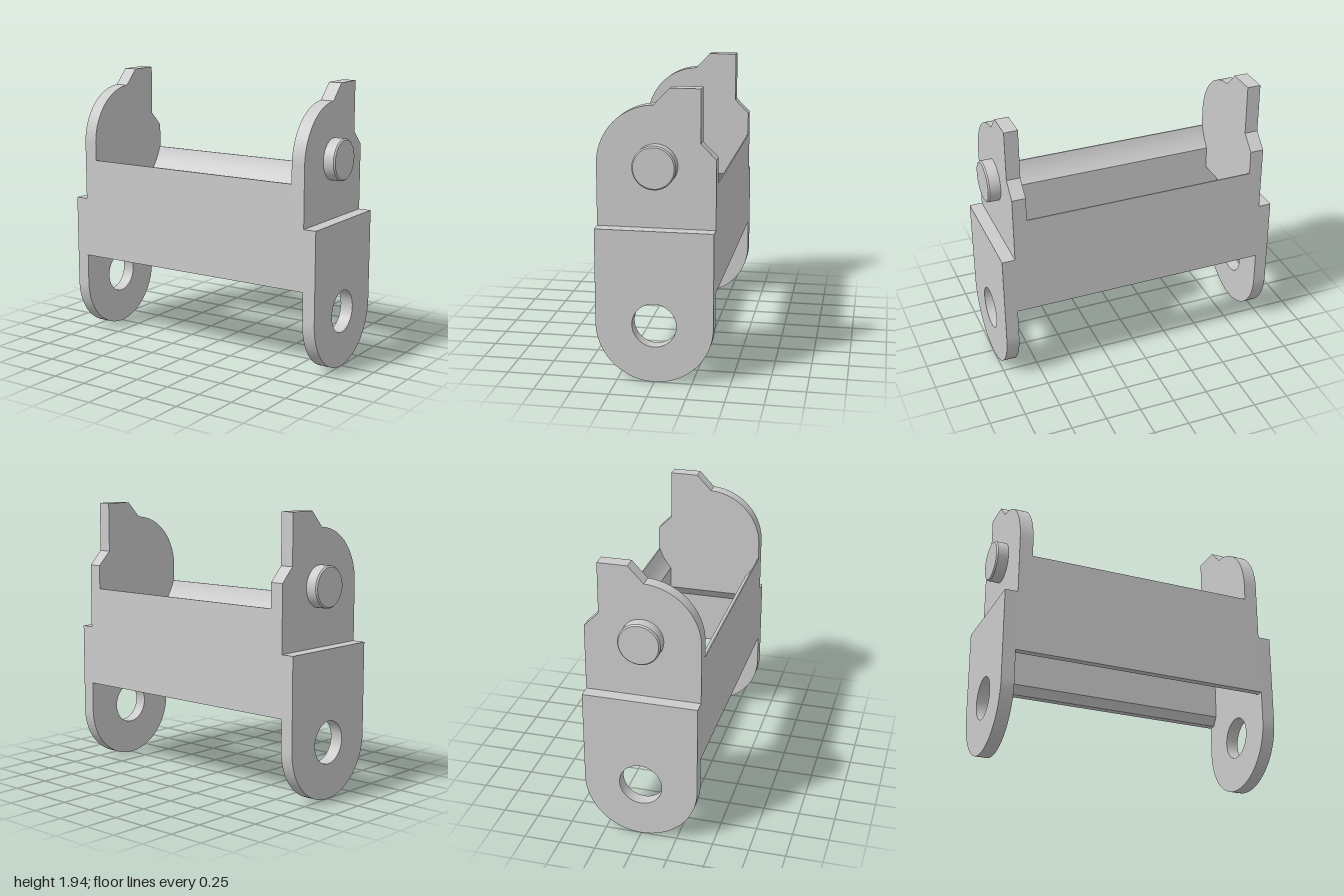
import * as THREE from 'three';
import { toCreasedNormals } from 'three/addons/utils/BufferGeometryUtils.js';

const D = 0.39;          // half depth of the link
const PIN_Y = 1.44;      // upper pivot height
const HOLE_Y = 0.395;    // lower pivot height
const CLEAR = 0.4;       // clearance radius around both pivots

export function createModel() {
  const group = new THREE.Group();
  const material = new THREE.MeshStandardMaterial({ color: 0xcccccc });

  const add = (name, geometry) => {
    const mesh = new THREE.Mesh(toCreasedNormals(geometry, 0.5), material);
    mesh.name = name;
    group.add(mesh);
  };
  // Extrudes a (z, y) profile along x, from xMin to xMax
  const extrudeX = (shape, xMin, xMax) =>
    new THREE.ExtrudeGeometry(shape, { depth: xMax - xMin, bevelEnabled: false, curveSegments: 32 })
      .rotateY(-Math.PI / 2)
      .translate(xMax, 0, 0);

  // Lower side plate: rounded bottom with a pivot hole
  const lower = new THREE.Shape();
  lower.moveTo(D, 1.03);
  lower.lineTo(-D, 1.03);
  lower.lineTo(-D, HOLE_Y);
  lower.absarc(0, HOLE_Y, D, Math.PI, Math.PI * 2, false);
  lower.closePath();
  const hole = new THREE.Path();
  hole.absarc(0, HOLE_Y, 0.147, 0, Math.PI * 2, true);
  lower.holes.push(hole);

  // Upper side plate: rounded front shoulder and a stop tab at the back
  const upper = new THREE.Shape();
  upper.moveTo(-D, 1.01);
  upper.lineTo(D, 1.01);
  upper.lineTo(D, PIN_Y);
  upper.absarc(0, PIN_Y, D, 0, Math.PI / 2 - 0.04, false);
  [[-0.09, 1.94], [-0.29, 1.94], [-0.29, 1.59], [-D, 1.49]].forEach(([z, y]) => upper.lineTo(z, y));
  upper.closePath();

  for (const [side, s] of [['left', 1], ['right', -1]]) {
    const span = (a, b) => (s > 0 ? [a, b] : [-b, -a]);
    add(side + 'LowerPlate', extrudeX(lower, ...span(0.91, 1)));
    add(side + 'UpperPlate', extrudeX(upper, ...span(0.815, 0.91)));

    // Sloped web joining the offset upper and lower plates
    const web = new THREE.Shape(
      [[0.815, 1.01], [0.91, 0.92], [0.91, 1.01]].map(([x, y]) => new THREE.Vector2(s * x, y)));
    add(side + 'Web', new THREE.ExtrudeGeometry(web, { depth: 0.76, bevelEnabled: false })
      .translate(0, 0, -0.38));

    // Pivot pin with a slightly eased rim
    const pin = new THREE.LatheGeometry(
      [[0, 0.88], [0.143, 0.88], [0.143, 0.985], [0.134, 0.995], [0, 0.995]]
        .map(([r, h]) => new THREE.Vector2(r, h)), 48);
    add(side + 'Pin', pin.rotateZ(-s * Math.PI / 2).translate(0, PIN_Y, 0));
  }

  // Cross plates, hollowed inside around both pivots
  const inner = 0.295, top = 1.32, bottom = 0.605;
  for (const [name, s] of [['frontPlate', 1], ['backPlate', -1]]) {
    const pts = [[D, bottom], [D, top]];
    const arc = (cy, y0, z1, dir) => {
      const a0 = Math.asin((y0 - cy) / CLEAR);
      const a1 = dir * Math.acos(z1 / CLEAR);
      for (let i = 0; i <= 8; i++) {
        const a = a0 + (a1 - a0) * i / 8;
        pts.push([CLEAR * Math.cos(a), cy + CLEAR * Math.sin(a)]);
      }
    };
    arc(PIN_Y, top, inner, -1);
    const n = pts.length;
    arc(HOLE_Y, bottom, inner, 1);
    pts.push(...pts.splice(n).reverse());
    const shape = new THREE.Shape(pts.map(([z, y]) => new THREE.Vector2(s * z, y)));
    add(name, extrudeX(shape, -0.91, 0.91));
  }
  return group;
}
